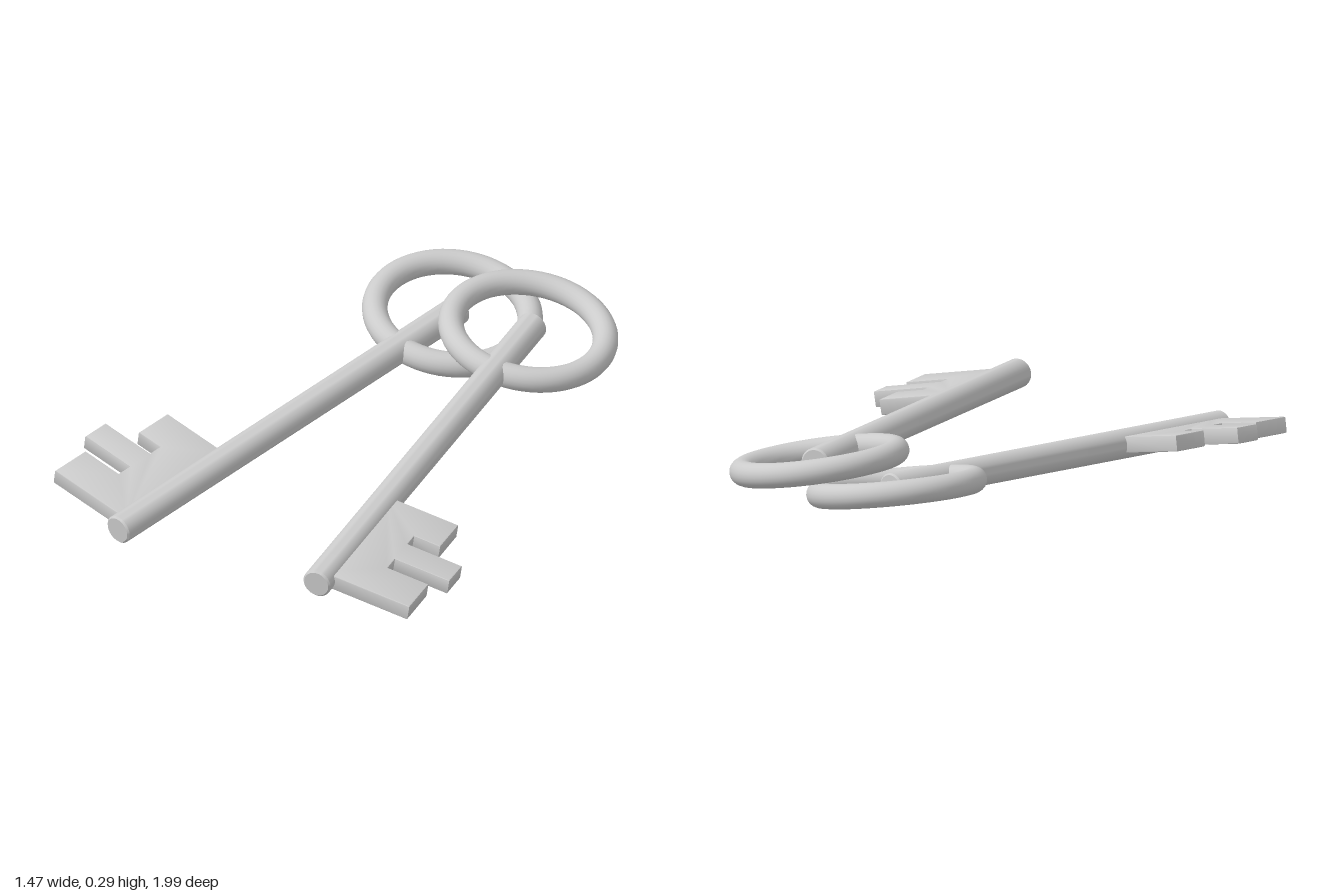
import * as THREE from 'three';
import { toCreasedNormals } from 'three/addons/utils/BufferGeometryUtils.js';

const material = new THREE.MeshStandardMaterial({ color: 0xcccccc });
const LENGTH = 1.693, SHAFT_R = 0.05;

function addMesh(parent, name, geometry) {
  const mesh = new THREE.Mesh(geometry, material);
  mesh.name = name;
  parent.add(mesh);
  return mesh;
}

// Round bar with softly bevelled ends, running from the tip (z = 0) to -z
function shaftGeometry() {
  const b = 0.006;
  const profile = [
    [0, 0], [SHAFT_R - b, 0], [SHAFT_R, b],
    [SHAFT_R, LENGTH - b], [SHAFT_R - b, LENGTH], [0, LENGTH],
  ].map(([x, y]) => new THREE.Vector2(x, y));
  const geometry = new THREE.LatheGeometry(profile, 32);
  geometry.rotateX(-Math.PI / 2);
  return toCreasedNormals(geometry, 0.6);
}

// Flat bit with three teeth; side = +1 or -1 picks the side of the shaft
function bitGeometry(side) {
  const bevel = 0.004, thickness = 0.055;
  const outline = [
    [0, 0.04], [0.325, 0.04], [0.325, 0.19], [0.173, 0.19],
    [0.173, 0.245], [0.376, 0.245], [0.376, 0.345], [0.173, 0.345],
    [0.173, 0.395], [0.27, 0.395], [0.27, 0.537], [0, 0.537],
  ];
  const shape = new THREE.Shape(outline.map(([x, y]) => new THREE.Vector2(side * x, y)));
  const geometry = new THREE.ExtrudeGeometry(shape, {
    depth: thickness - 2 * bevel,
    bevelThickness: bevel, bevelSize: bevel, bevelOffset: -bevel, bevelSegments: 2,
  });
  geometry.translate(0, 0, bevel - thickness / 2);
  geometry.rotateX(-Math.PI / 2);
  return toCreasedNormals(geometry, 0.5);
}

// One key: tip and tail are the shaft ends, up is the normal of its flat plane
function createKey(name, tip, tail, up, side, ringOffset) {
  const key = new THREE.Group();
  key.name = name;
  addMesh(key, 'shaft', shaftGeometry());
  addMesh(key, 'bit', bitGeometry(side));
  const ring = addMesh(key, 'bowRing', new THREE.TorusGeometry(0.261, 0.043, 20, 64));
  ring.rotation.x = Math.PI / 2;
  ring.position.set(0, 0, -LENGTH + ringOffset);

  const zAxis = tip.clone().sub(tail).normalize();
  const xAxis = up.clone().cross(zAxis).normalize();
  const yAxis = zAxis.clone().cross(xAxis);
  key.quaternion.setFromRotationMatrix(new THREE.Matrix4().makeBasis(xAxis, yAxis, zAxis));
  key.position.copy(tip);
  return key;
}

export function createModel() {
  const v = (x, y, z) => new THREE.Vector3(x, y, z);
  const model = new THREE.Group();
  model.name = 'keyPair';
  model.add(
    createKey('rightKey', v(-0.366, 0.052, 0.99), v(-0.351, 0.16, -0.7), v(0.185, 1, 0.065), -1, 0.034),
    createKey('leftKey', v(0.434, 0.12, 0.885), v(-0.05, 0.204, -0.735), v(0.185, 1, 0), 1, 0.04),
  );
  return model;
}
